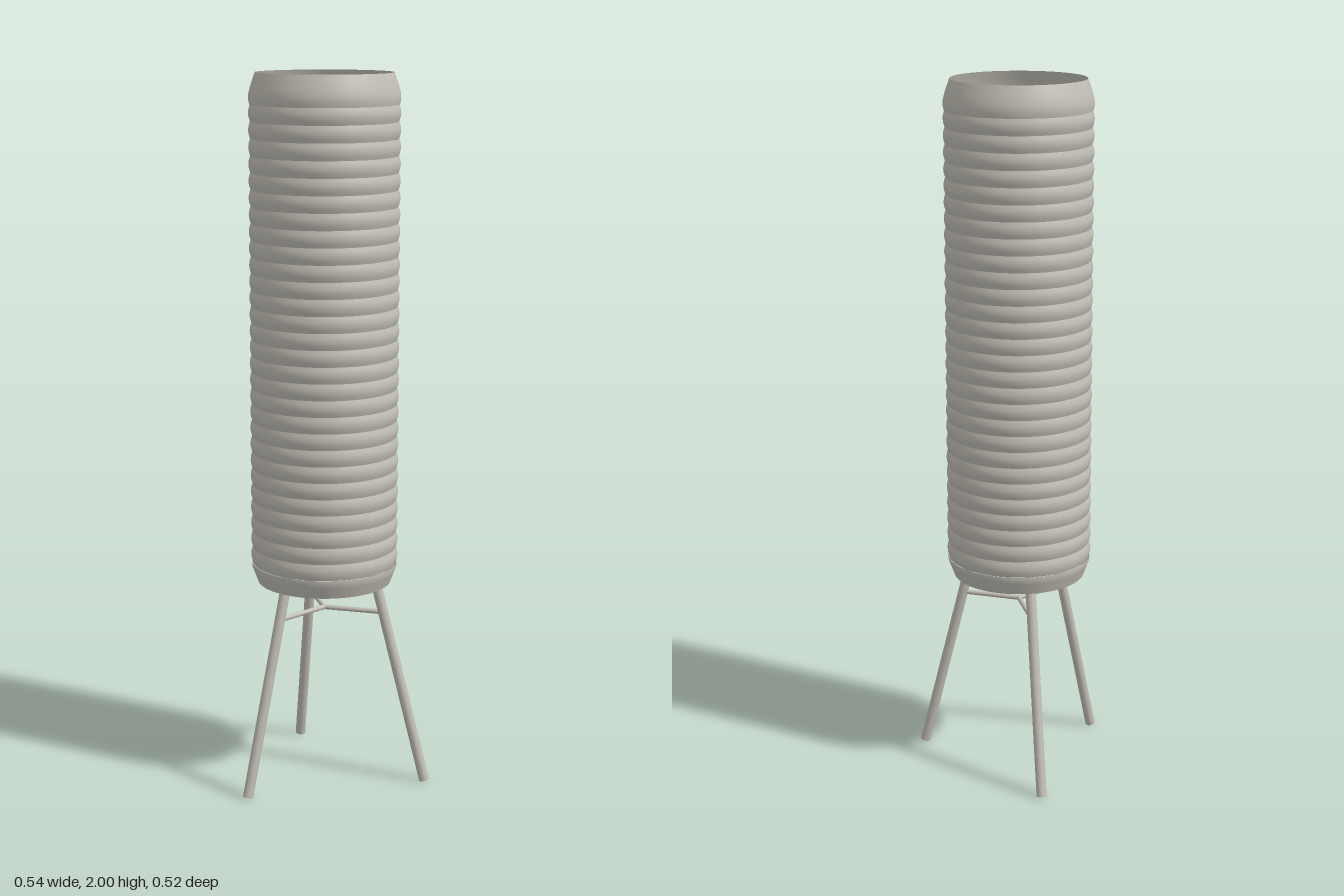
import * as THREE from 'three';
import { mergeGeometries } from 'three/addons/utils/BufferGeometryUtils.js';

const AXIS_Z = 0.053;

// Round rod between two points
function rod(a, b, radius, material, name) {
  const dir = b.clone().sub(a);
  const mesh = new THREE.Mesh(new THREE.CylinderGeometry(radius, radius, dir.length(), 24), material);
  mesh.position.copy(a).add(b).multiplyScalar(0.5);
  mesh.quaternion.setFromUnitVectors(new THREE.Vector3(0, 1, 0), dir.normalize());
  mesh.name = name;
  return mesh;
}

// One smooth band of the shade, creased where it meets its neighbours
function band(points) {
  return new THREE.LatheGeometry(points.map(([r, y]) => new THREE.Vector2(r, y)), 72);
}

export function createModel() {
  const model = new THREE.Group();
  model.name = 'floorLamp';

  const paper = new THREE.MeshStandardMaterial({ color: 0xc2bfb5, side: THREE.DoubleSide });
  paper.name = 'warm grey paper';
  const metal = new THREE.MeshStandardMaterial({ color: 0xc2bfb5 });
  metal.name = 'warm grey metal';

  // Ribbed paper shade, open at both ends
  const bottom = 0.58, top = 2, first = 0.635, last = 1.915, count = 28;
  const valley = 0.202, crest = 0.207, rim = 0.188;
  const step = (last - first) / count;
  const bands = [
    band([[rim, bottom], [0.194, 0.596], [0.2, 0.612], [0.2045, 0.624], [valley + 0.002, first]]),
    band([[valley + 0.002, last], [0.2065, 1.928], [0.206, 1.944], [0.201, 1.963], [0.195, 1.981], [rim, top]]),
  ];
  for (let i = 0; i < count; i++) {
    const profile = [];
    for (let k = 0; k <= 6; k++) {
      const t = k / 6;
      profile.push([valley + (crest - valley) * Math.sin(Math.PI * t), first + (i + t) * step]);
    }
    bands.push(band(profile));
  }
  const shade = new THREE.Mesh(mergeGeometries(bands), paper);
  shade.name = 'shade';
  shade.position.z = AXIS_Z;
  model.add(shade);

  // Three splayed legs joined by a three-armed brace
  const base = new THREE.Group();
  base.name = 'tripod';
  base.position.z = AXIS_Z;
  for (let i = 0; i < 3; i++) {
    const side = new THREE.Group();
    side.name = 'legAndBrace';
    side.rotation.y = (i * Math.PI * 2) / 3;
    side.add(rod(new THREE.Vector3(0, 0.004, -0.298), new THREE.Vector3(0, 0.69, -0.124), 0.0145, metal, 'leg'));
    side.add(rod(new THREE.Vector3(0, 0.497, 0), new THREE.Vector3(0, 0.497, -0.172), 0.007, metal, 'brace'));
    base.add(side);
  }
  model.add(base);
  return model;
}
